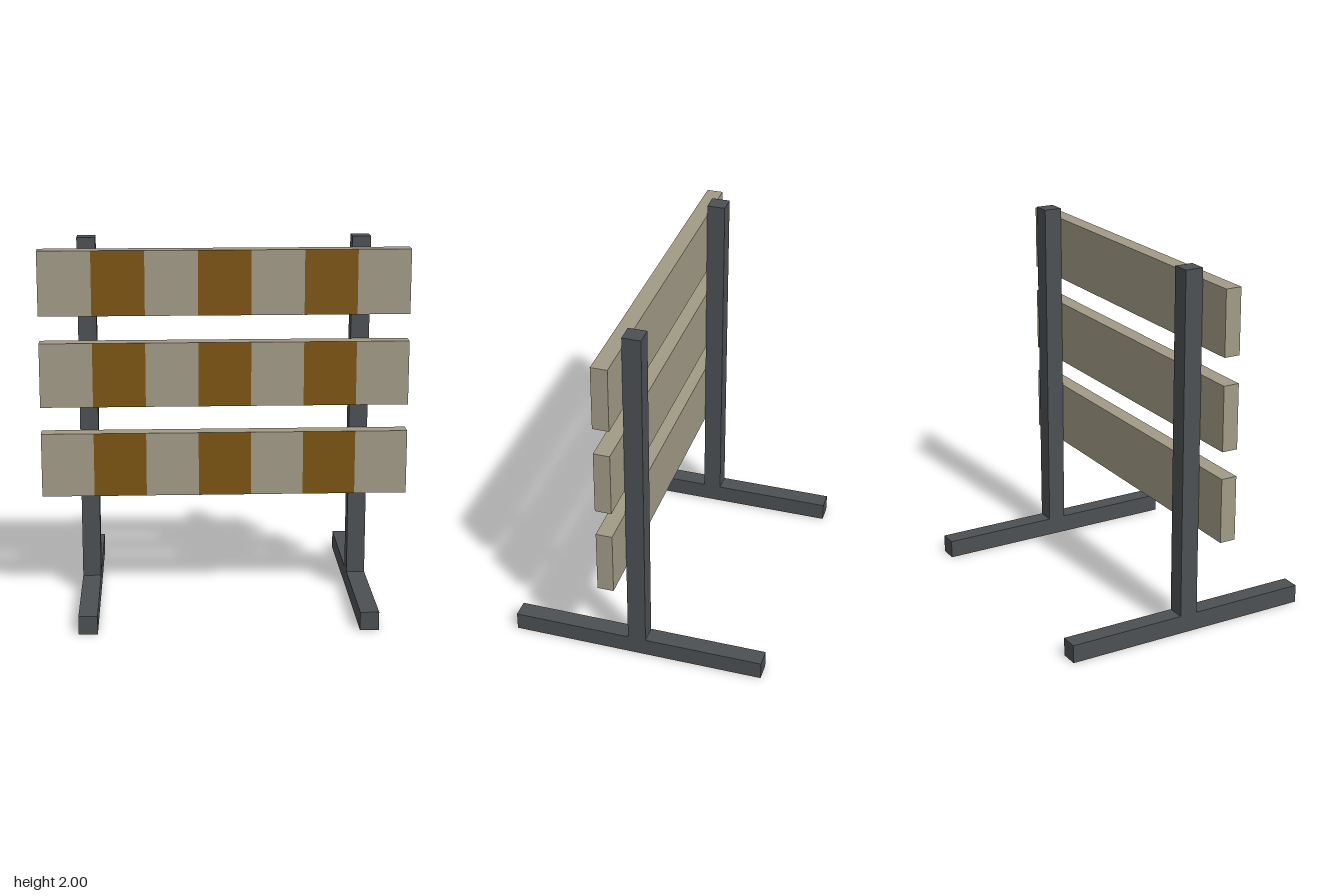
import * as THREE from 'three';

const steel = new THREE.MeshStandardMaterial({ color: 0x4c5053 });
const cream = new THREE.MeshStandardMaterial({ color: 0xa19a86 });
const amber = new THREE.MeshStandardMaterial({ color: 0x7c5410 });

function add(parent, name, geometry, material, x, y, z) {
  const mesh = new THREE.Mesh(geometry, material);
  mesh.name = name;
  mesh.position.set(x, y, z);
  parent.add(mesh);
  return mesh;
}

export function createModel() {
  const group = new THREE.Group();
  group.name = 'barricade';

  // Two uprights, each standing on a long foot
  const footGeo = new THREE.BoxGeometry(0.1, 0.1, 1.4);
  const postGeo = new THREE.BoxGeometry(0.1, 1.9, 0.1);
  for (const [side, x] of [['left', 0.74], ['right', -0.74]]) {
    add(group, side + 'Foot', footGeo, steel, x, 0.05, 0);
    add(group, side + 'Post', postGeo, steel, x, 1.05, 0);
  }

  // Three planks on the front of the posts, striped on the front face only
  const plankHeight = 0.352;
  const plankDepth = 0.088;
  const stripeWidth = 2 / 7;
  const plankGeo = new THREE.BoxGeometry(2, plankHeight, plankDepth);
  const stripeGeo = new THREE.PlaneGeometry(stripeWidth, plankHeight);
  ['lower', 'middle', 'upper'].forEach((level, i) => {
    const plank = new THREE.Group();
    plank.name = level + 'Plank';
    plank.position.set(0, 0.765 + i * 0.5, 0.05 + plankDepth / 2);
    add(plank, 'board', plankGeo, cream, 0, 0, 0);
    for (const k of [-1, 0, 1]) {
      add(plank, 'stripe', stripeGeo, amber, k * 2 * stripeWidth, 0, plankDepth / 2 + 0.001);
    }
    group.add(plank);
  });

  return group;
}
